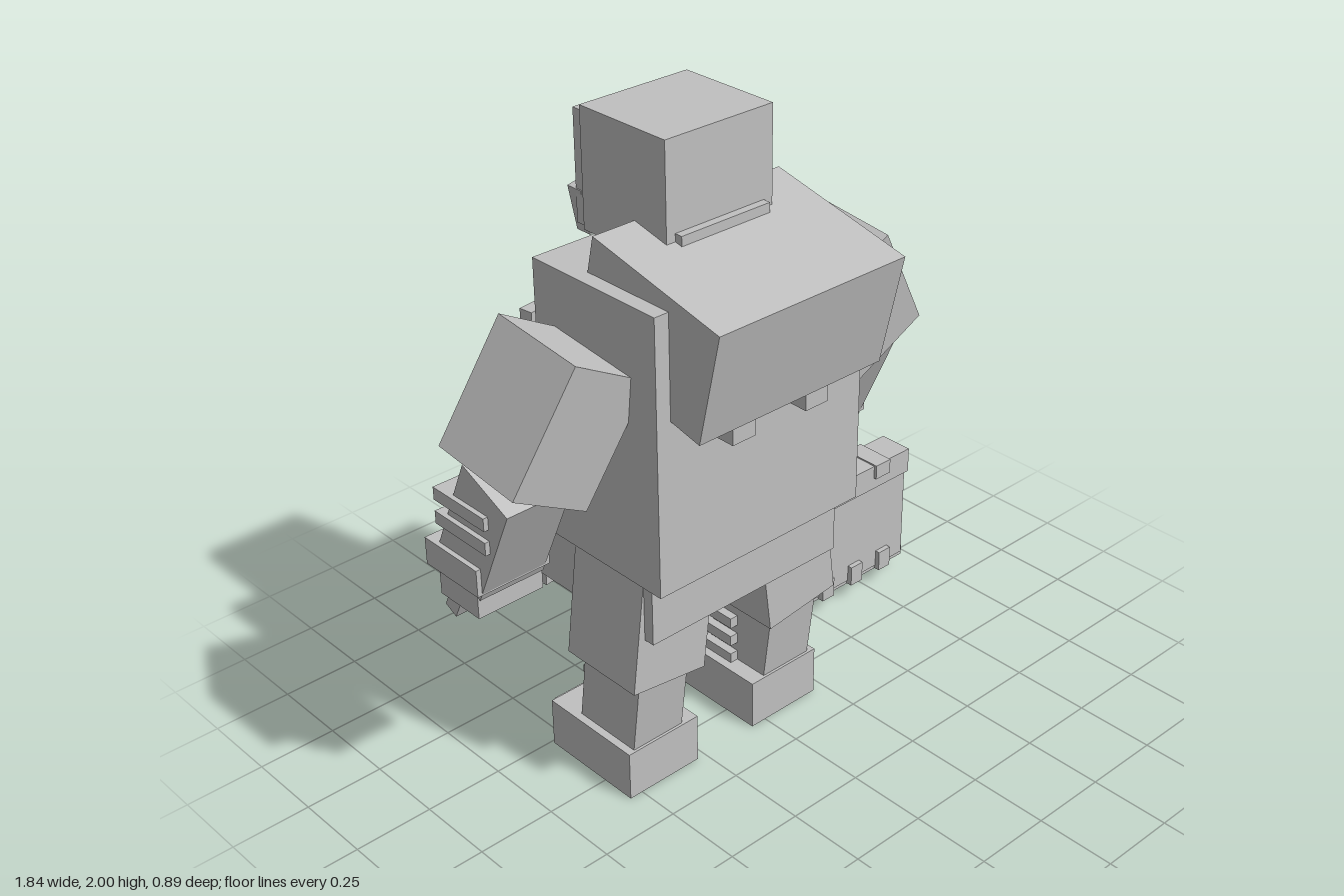
import * as THREE from 'three';

const MID = -0.167; // the body's own centre line in x

export function createModel() {
  const model = new THREE.Group();
  model.name = 'armouredBrute';
  const grey = new THREE.MeshStandardMaterial({ color: 0xc0c0c0 });
  grey.name = 'plain grey';

  // Box from centre, size and rotation
  const box = (name, pos, size, rot = [0, 0, 0], parent = model) => {
    const mesh = new THREE.Mesh(new THREE.BoxGeometry(...size), grey);
    mesh.name = name;
    mesh.position.set(...pos);
    mesh.rotation.set(...rot);
    parent.add(mesh);
    return mesh;
  };
  // Box from its limits: x0, x1, y0, y1, z0, z1
  const span = (name, x0, x1, y0, y1, z0, z1, parent = model) =>
    box(name, [(x0 + x1) / 2, (y0 + y1) / 2, (z0 + z1) / 2],
      [x1 - x0, y1 - y0, z1 - z0], [0, 0, 0], parent);

  // Torso, hips and hunched shoulder pack
  span('torso', -0.545, 0.21, 0.785, 1.63, -0.215, 0.27);
  span('hips', -0.52, 0.19, 0.585, 1.11, -0.335, 0.205);
  box('shoulderPack', [MID + 0.002, 1.515, 0.18], [0.665, 0.35, 0.49], [0.225, 0, 0]);
  span('neckPlate', -0.325, -0.01, 1.70, 1.735, -0.1, 0.13);

  // Chest ribs on one side
  for (let i = 0; i < 5; i++) {
    box('chestRib', [0.065, 1.295 + i * 0.055, -0.225], [0.09, 0.03, 0.04]);
  }

  // Head with face plate
  span('head', -0.355, 0.022, 1.645, 2.0, -0.23, 0.105);
  span('facePlate', -0.345, 0.01, 1.65, 1.98, -0.27, -0.22);

  for (const s of [-1, 1]) {
    const X = (d) => MID + s * d;

    // Face details and pack pegs
    box('browBolt', [X(0.13), 1.92, -0.28], [0.045, 0.045, 0.04]);
    box('eye', [X(0.075), 1.825, -0.285], [0.06, 0.035, 0.04]);
    box('tusk', [X(0.145), 1.685, -0.275], [0.045, 0.14, 0.055], [0, 0, -s * 0.2]);
    span('packPeg', X(0.135) - 0.042, X(0.135) + 0.042, 1.21, 1.285, 0.2, 0.34);

    // Leg
    const leg = new THREE.Group();
    leg.name = s > 0 ? 'leftLeg' : 'rightLeg';
    model.add(leg);
    box('shortsLeg', [X(0.2405), 0.598, 0.025], [0.267, 0.4, 0.29], [0, 0, s * 0.125], leg);
    box('shin', [X(0.26), 0.29, 0.005], [0.185, 0.3, 0.235], [0.13, 0, 0], leg);
    for (let i = 0; i < 3; i++) {
      box('shinBand', [X(0.235), 0.175 + i * 0.065, -0.075], [0.19, 0.035, 0.13], [0, 0, 0], leg);
    }
    box('foot', [X(0.245), 0.08, -0.0625], [0.265, 0.16, 0.355], [0, 0, 0], leg);
    box('toeCap', [X(0.245), 0.09, -0.25], [0.19, 0.08, 0.05], [0, 0, 0], leg);

    // Arm
    const arm = new THREE.Group();
    arm.name = s > 0 ? 'leftArm' : 'rightArm';
    model.add(arm);
    box('upperArm', [X(0.537), 1.31, 0.005], [0.285, 0.385, 0.31], [0.11, 0, s * 0.52], arm);
    box('forearm', [X(0.623), 0.985, -0.08], [0.215, 0.36, 0.2], [0.42, 0, 0], arm);
    for (const y of [0.98, 1.055]) {
      box('forearmBand', [X(0.623), y, -0.11], [0.245, 0.04, 0.22], [0, 0, 0], arm);
    }
    box('forearmGuard', [X(0.623), 0.94, -0.21], [0.15, 0.1, 0.05], [0.42, 0, 0], arm);
    box('wristCuff', [X(0.623), 0.845, -0.165], [0.245, 0.085, 0.23], [0, 0, 0], arm);
    box('hand', [X(0.623), 0.76, -0.155], [0.22, 0.085, 0.17], [0, 0, 0], arm);
    for (const d of [-0.06, 0, 0.06]) {
      box('finger', [X(0.623 + d), 0.685, -0.225], [0.042, 0.09, 0.05], [0.45, 0, 0], arm);
    }
  }

  // Plank breastplate: offset, width, bottom, top
  const planks = [
    [-0.25, 0.12, 0.5, 1.40], [-0.12, 0.13, 0.49, 1.36], [0, 0.105, 0.445, 1.37],
    [0.11, 0.125, 0.47, 1.38], [0.25, 0.13, 0.5, 1.42],
  ];
  for (const [d, w, y0, y1] of planks) {
    const z = -0.372 + Math.abs(d) * 0.06;
    box('plank', [MID + d, (y0 + y1) / 2, z], [w, y1 - y0, 0.045], [0, -d * 0.5, 0]);
    if (d > -0.2) box('plankSlot', [MID + d, 1.2, z - 0.022], [0.055, 0.022, 0.02]);
  }
  span('plankBacking', -0.45, 0.115, 0.58, 1.3, -0.36, -0.33);

  // Belt across the planks
  span('beltStrap', -0.545, 0.215, 0.81, 0.89, -0.41, -0.38);
  span('beltBuckle', -0.255, -0.08, 0.785, 0.91, -0.437, -0.39);
  for (const x of [-0.525, 0.195]) box('beltSide', [x, 0.85, -0.25], [0.04, 0.09, 0.07]);

  // Cleaver held in the left hand
  const cleaver = new THREE.Group();
  cleaver.name = 'cleaver';
  model.add(cleaver);
  const part = (name, ...limits) => span(name, ...limits, cleaver);
  part('grip', 0.405, 0.51, 0.62, 0.73, -0.245, -0.15);
  part('gripCollar', 0.395, 0.515, 0.56, 0.605, -0.26, -0.13);
  part('gripCollar', 0.4, 0.51, 0.63, 0.685, -0.255, -0.14);
  part('handle', 0.415, 0.495, 0.4, 0.65, -0.24, -0.15);
  part('bladeSpine', 0.415, 0.9, 0.405, 0.49, -0.255, -0.14);
  part('spineClamp', 0.735, 0.8, 0.445, 0.495, -0.265, -0.13);
  part('blade', 0.443, 0.91, 0.07, 0.41, -0.222, -0.165);
  part('bladeEdge', 0.435, 0.917, 0.055, 0.09, -0.217, -0.17);
  for (const x of [0.543, 0.677, 0.81]) {
    part('bladeRivet', x - 0.026, x + 0.026, 0.058, 0.128, -0.24, -0.148);
  }
  return model;
}
